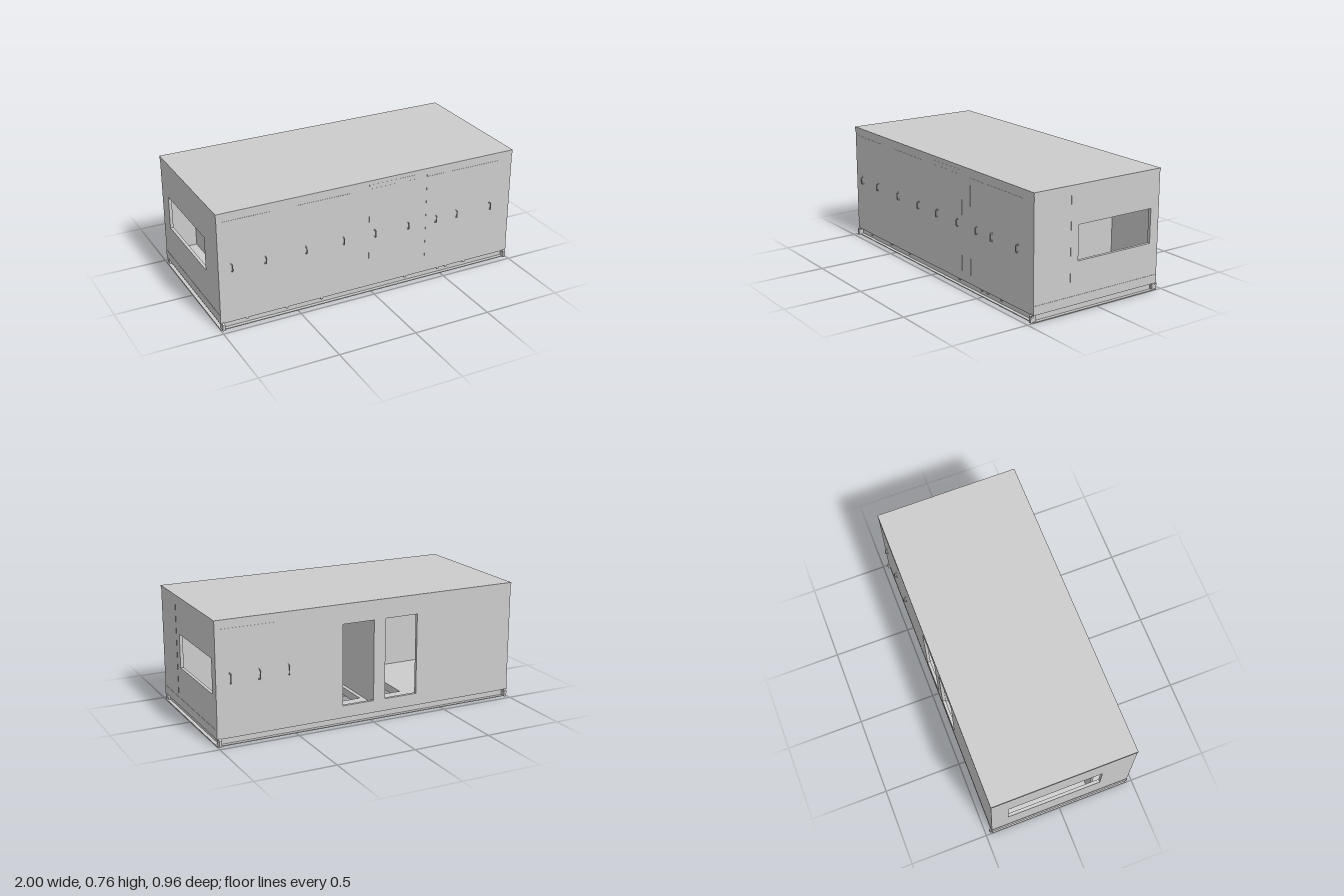
import * as THREE from 'three';

const material = new THREE.MeshStandardMaterial({ color: 0xcccccc });
const X = 0.998, Z = 0.46, T = 0.02, FLOOR = 0.1, CEIL = 0.735;

function add(group, name, geometry, x = 0, y = 0, z = 0) {
  const mesh = new THREE.Mesh(geometry, material);
  mesh.name = name;
  mesh.position.set(x, y, z);
  group.add(mesh);
  return mesh;
}

// Box given by its limits on each axis
function block(group, name, [x0, x1], [y0, y1], [z0, z1]) {
  return add(group, name, new THREE.BoxGeometry(x1 - x0, y1 - y0, z1 - z0),
    (x0 + x1) / 2, (y0 + y1) / 2, (z0 + z1) / 2);
}

function rectPoints([u0, u1], [v0, v1]) {
  return [[u0, v0], [u1, v0], [u1, v1], [u0, v1]].map(p => new THREE.Vector2(...p));
}

// Flat panel with rectangular holes
function panelGeometry(u, v, holes, depth) {
  const shape = new THREE.Shape(rectPoints(u, v));
  for (const [hu, hv] of holes) shape.holes.push(new THREE.Path(rectPoints(hu, hv)));
  return new THREE.ExtrudeGeometry(shape, { depth, bevelEnabled: false });
}

// Bent bar handle standing off a side wall
function handle(group, x, y, half, side) {
  const points = [[-half, 0.457], [-half, 0.468], [-half * 0.72, 0.475],
    [half * 0.72, 0.475], [half, 0.468], [half, 0.457]]
    .map(([dy, z]) => new THREE.Vector3(x, y + dy, z * side));
  const path = new THREE.CurvePath();
  for (let i = 1; i < points.length; i++) path.add(new THREE.LineCurve3(points[i - 1], points[i]));
  const bar = add(group, 'handle', new THREE.TubeGeometry(path, 20, 0.003, 8));
  for (const e of [-1, 1]) {
    block(group, 'handleFoot', [x - 0.005, x + 0.005],
      [y + e * half - 0.006, y + e * half + 0.006],
      side > 0 ? [0.459, 0.462] : [-0.462, -0.459]);
  }
  return bar;
}

export function createModel() {
  const model = new THREE.Group();
  model.name = 'equipmentContainer';

  // Roof and floor slab with two service openings
  block(model, 'roof', [-1, 1], [CEIL, 0.757], [-0.462, 0.462]);
  const floor = add(model, 'floor', panelGeometry([-1, 1], [-Z, Z],
    [[[0.005, 0.205], [-0.325, 0.185]], [[-0.28, -0.08], [-0.325, 0.185]]], 0.05), 0, FLOOR, 0);
  floor.rotation.x = Math.PI / 2;

  // Outer walls
  block(model, 'frontWall', [-X, X], [FLOOR, CEIL], [Z - T, Z]);
  add(model, 'backWall', panelGeometry([-X, X], [FLOOR, CEIL],
    [[[-0.02, 0.19], [0.122, 0.633]], [[-0.318, -0.098], [0.122, 0.633]]], T), 0, 0, -Z);
  const windows = [['rightWall', X - T, [-0.145, 0.398]], ['leftWall', -X, [-0.256, 0.35]]];
  for (const [name, x, u] of windows) {
    const wall = add(model, name, panelGeometry([-Z + T, Z - T], [FLOOR, CEIL],
      [[u, [0.305, 0.52]]], T), x);
    wall.rotation.y = Math.PI / 2;
  }

  // Interior partitions
  block(model, 'frontPartition', [-X + T, X - T], [FLOOR, CEIL], [0.2, 0.215]);
  for (const [x0, x1] of [[0.595, 0.61], [-0.1, -0.02], [-0.8, -0.785]]) {
    block(model, 'crossPartition', [x0, x1], [FLOOR, CEIL], [-Z + T, 0.2]);
  }

  // Access panels: top drip strips and vertical seams
  for (const [x0, x1] of [[-0.96, -0.665], [-0.49, -0.15], [-0.02, 0.29], [0.38, 0.51], [0.56, 0.89]]) {
    block(model, 'dripStrip', [x0, x1], [0.699, 0.703], [Z, 0.4615]);
  }
  block(model, 'frontDoor', [-0.02, 0.29], [0.105, 0.73], [Z, 0.461]);
  block(model, 'frontSeam', [0.378, 0.381], [FLOOR, CEIL], [Z, 0.461]);
  block(model, 'sideSeam', [X, 0.9995], [FLOOR, CEIL], [0.1985, 0.2005]);
  block(model, 'backDripStrip', [0.62, 0.96], [0.699, 0.703], [-0.4615, -Z]);

  // Handles
  for (const x of [-0.915, -0.705, -0.445, -0.195, 0.02, 0.25, 0.45, 0.6, 0.85]) {
    handle(model, x, 0.4, 0.022, 1);
  }
  for (const x of [0.545, 0.73, 0.91]) handle(model, x, 0.405, 0.03, -1);

  // Channel-section skid frame, open to the outside
  for (const s of [-1, 1]) {
    const span = (a, b) => (s > 0 ? [a, b] : [-b, -a]);
    block(model, 'longRailWeb', [-0.98, 0.98], [0, 0.05], span(0.432, 0.438));
    block(model, 'endRailWeb', span(0.972, 0.978), [0, 0.05], [-0.436, 0.436]);
    for (const y of [0, 0.045]) {
      block(model, 'longRailFlange', [-1, 1], [y, y + 0.005], span(0.436, Z));
      block(model, 'endRailFlange', span(0.976, 1), [y, y + 0.005], [-0.436, 0.436]);
    }
  }

  // Corner lifting lugs with eye holes
  const lug = new THREE.Shape([[0.436, 0], [0.472, 0], [0.472, 0.04], [0.464, 0.05], [0.436, 0.05]]
    .map(p => new THREE.Vector2(...p)));
  lug.holes.push(new THREE.Path().absarc(0.46, 0.037, 0.006, 0, Math.PI * 2, true));
  const lugGeometry = new THREE.ExtrudeGeometry(lug, { depth: 0.016, bevelEnabled: false });
  for (const sx of [-1, 1]) for (const sz of [-1, 1]) {
    const mesh = add(model, 'liftingLug', lugGeometry, sx * 0.984 + sz * 0.008);
    mesh.rotation.y = -sz * Math.PI / 2;
  }

  // Drain pipes under the floor, from the front rail inward
  for (const [x, end] of [[0.68, -0.14], [0.545, -0.14], [0.485, 0.3], [0.245, 0.035],
    [-0.338, 0.035], [-0.57, 0.035], [-0.83, 0.035]]) {
    const pipe = add(model, 'drainPipe', new THREE.CylinderGeometry(0.008, 0.008, 0.455 - end, 16),
      x, 0.038, (0.455 + end) / 2);
    pipe.rotation.x = Math.PI / 2;
  }
  return model;
}
